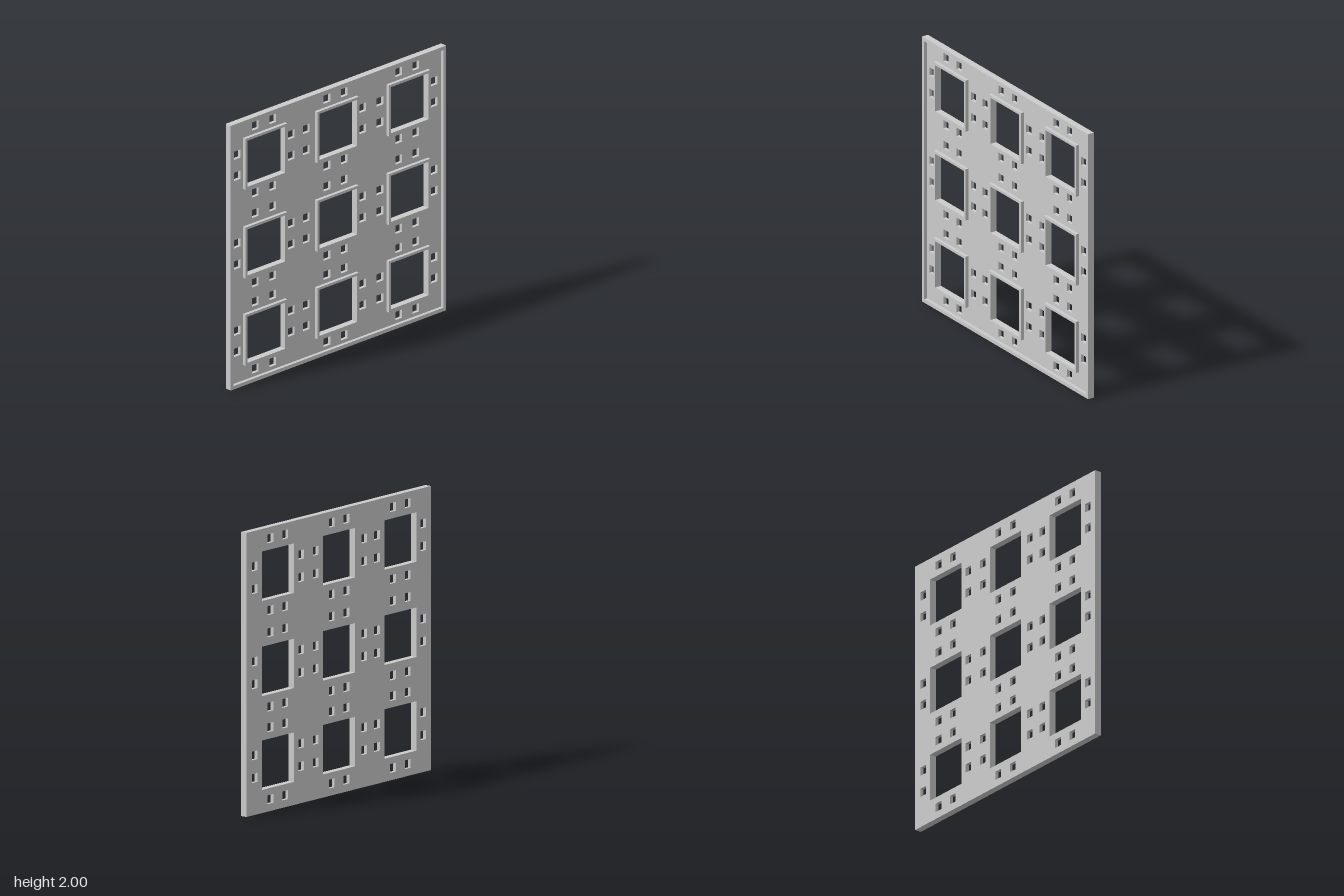
import * as THREE from 'three';

const BACK = -0.025, FLOOR = 0, FRONT = 0.025;
const columns = [-0.668, -0.003, 0.661];
// each row: centre height, offset of the small holes above and below
const rows = [[0.337, 0.253], [0.997, 0.262], [1.667, 0.253]];
// centres of the small holes beside the windows
const sideX = [-0.917, -0.414, -0.275, 0.249, 0.409, 0.912];
const WINDOW = 0.348, FRAME = 0.386, SLOT = 0.062, PAIR = 0.08, RIM = 0.027;

function rect(x, y, w, h, Type = THREE.Shape) {
  const a = w / 2, b = h / 2;
  return new Type([[-a, -b], [a, -b], [a, b], [-a, b]]
    .map(([u, v]) => new THREE.Vector2(x + u, y + v)));
}

export function createModel() {
  const group = new THREE.Group();
  const material = new THREE.MeshStandardMaterial({ color: 0xcccccc });

  const slab = (name, shape, z0, z1) => {
    const geometry = new THREE.ExtrudeGeometry(shape, { depth: z1 - z0, bevelEnabled: false });
    geometry.translate(0, 0, z0);
    const mesh = new THREE.Mesh(geometry, material);
    mesh.name = name;
    group.add(mesh);
  };

  // thin back plate, pierced by windows and pairs of small square holes
  const plate = rect(0, 1, 2, 2);
  const pierce = (x, y, size) => plate.holes.push(rect(x, y, size, size, THREE.Path));
  for (const [y, dy] of rows) {
    for (const x of columns) {
      pierce(x, y, WINDOW);
      for (const sx of [-1, 1]) {
        for (const sy of [-1, 1]) pierce(x + sx * PAIR, y + sy * dy, SLOT);
      }
    }
    for (const x of sideX) {
      for (const s of [-1, 1]) pierce(x, y + 0.003 + s * PAIR, SLOT);
    }
  }
  slab('backPlate', plate, BACK, FLOOR);

  // raised rim around the plate
  const rim = rect(0, 1, 2, 2);
  rim.holes.push(rect(0, 1, 2 - 2 * RIM, 2 - 2 * RIM, THREE.Path));
  slab('rim', rim, FLOOR, FRONT);

  // raised frame around each window
  for (const [y] of rows) {
    for (const x of columns) {
      const frame = rect(x, y, FRAME, FRAME);
      frame.holes.push(rect(x, y, WINDOW, WINDOW, THREE.Path));
      slab('windowFrame', frame, FLOOR, FRONT);
    }
  }
  return group;
}
